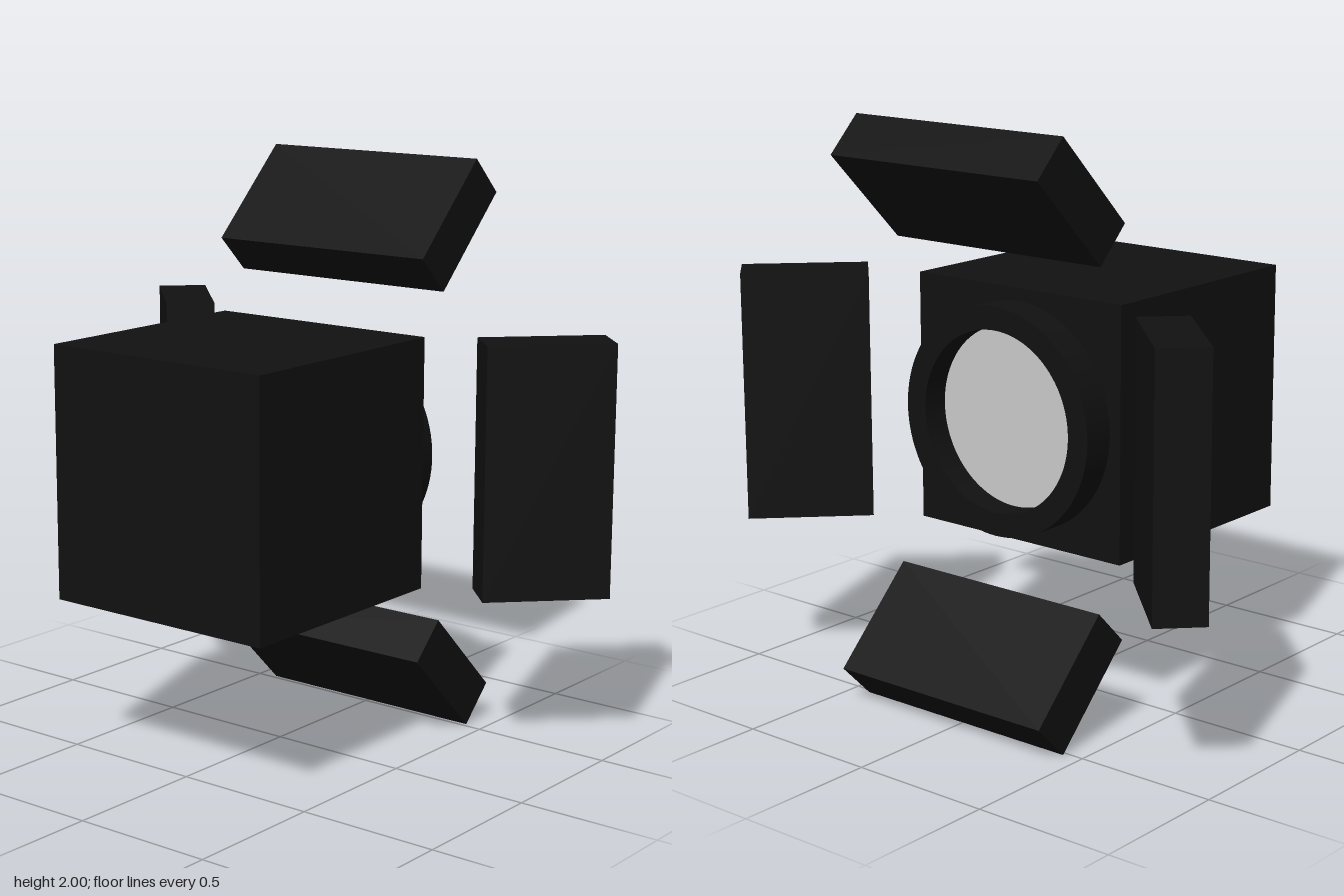
import * as THREE from 'three';

export function createModel() {
  const group = new THREE.Group();
  group.name = 'spotlight';
  const black = new THREE.MeshStandardMaterial({ color: 0x111111 });
  const grey = new THREE.MeshStandardMaterial({ color: 0xcccccc });
  const size = 0.866; // edge of the cubic housing

  const add = (name, geometry, material, x, parent = group) => {
    const mesh = new THREE.Mesh(geometry, material);
    mesh.name = name;
    mesh.position.x = x;
    parent.add(mesh);
    return mesh;
  };

  // everything sits around the lamp axis, which runs along x at y = 1
  const head = new THREE.Group();
  head.name = 'lampHead';
  head.position.y = 1;
  group.add(head);

  // cubic housing
  add('housing', new THREE.BoxGeometry(size, size, size), black, -0.207, head);

  // lens ring: a short tube standing out of the housing face
  const outline = new THREE.Shape().absarc(0, 0, 0.39, 0, Math.PI * 2);
  outline.holes.push(new THREE.Path().absarc(0, 0, 0.31, 0, Math.PI * 2, true));
  const ring = new THREE.ExtrudeGeometry(outline, { depth: 0.12, bevelEnabled: false, curveSegments: 48 });
  ring.rotateY(Math.PI / 2);
  add('lensRing', ring, black, 0.222, head);

  // lens recessed inside the ring
  const lens = new THREE.CylinderGeometry(0.312, 0.312, 0.03, 64);
  lens.rotateZ(Math.PI / 2);
  add('lens', lens, grey, 0.229, head);

  // four slanted barn doors, one per side of the lens
  const names = ['topDoor', 'leftDoor', 'bottomDoor', 'rightDoor'];
  names.forEach((name, i) => {
    const pivot = new THREE.Group();
    pivot.name = name + 'Pivot';
    pivot.rotation.x = i * Math.PI / 2;
    head.add(pivot);
    const door = add(name, new THREE.BoxGeometry(0.433, 0.173, size), black, 0.424, pivot);
    door.position.y = 0.786;
    door.rotation.z = Math.PI / 4;
  });

  return group;
}
